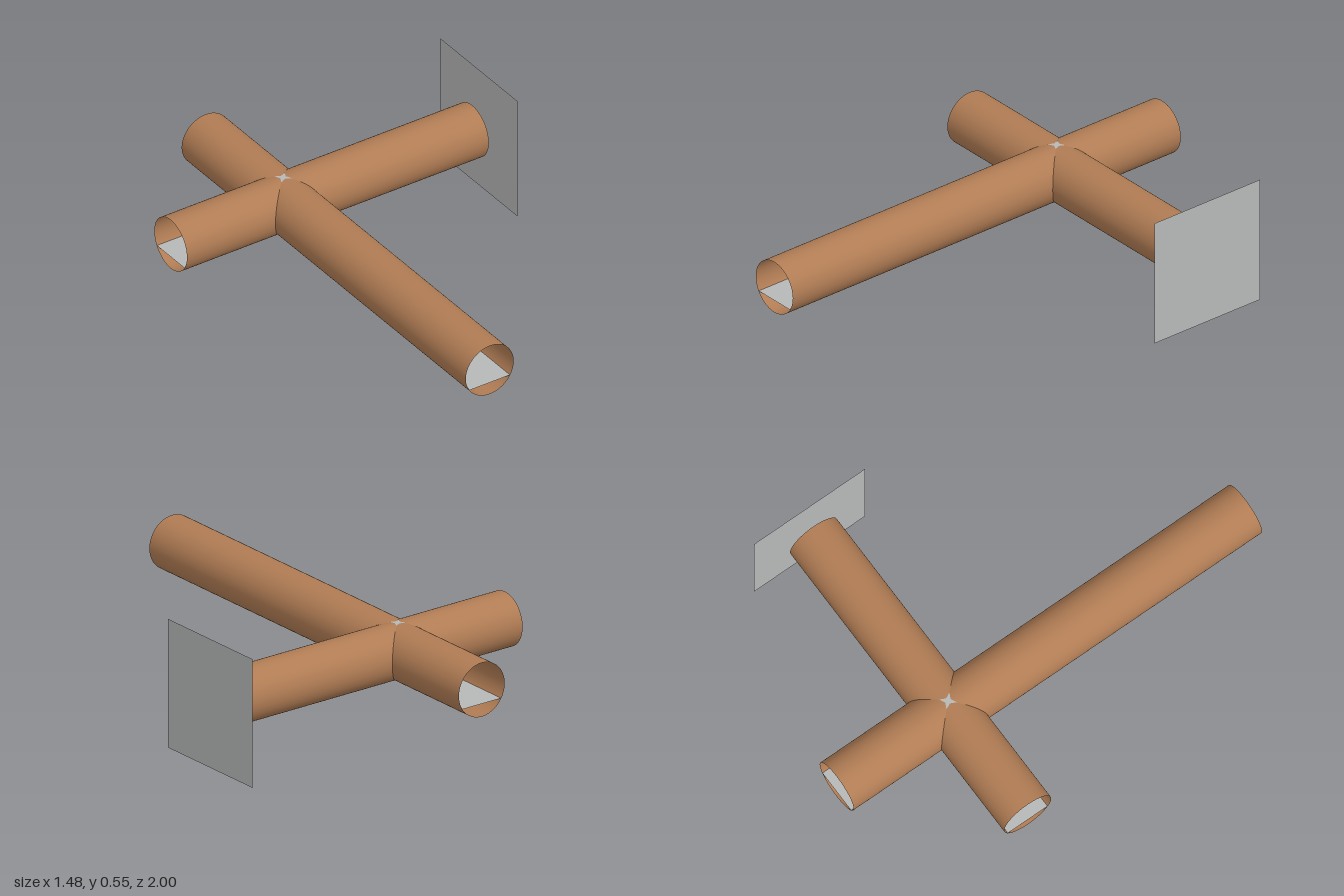
import * as THREE from 'three';

const R = 0.115, AXIS_Y = 0.275;           // pipe radius and centre height
const CX = -0.2, CZ = -0.455;              // crossing point
const X0 = -0.74, X1 = 0.71, Z0 = -1, Z1 = 1;

export function createModel() {
  const group = new THREE.Group();
  const copper = new THREE.MeshStandardMaterial({ color: 0xb07c54, side: THREE.DoubleSide });
  copper.name = 'copper brown';
  const grey = new THREE.MeshStandardMaterial({ color: 0xb6b8b7, side: THREE.DoubleSide });
  grey.name = 'light grey';

  const add = (name, geometry, material, x, y, z) => {
    const mesh = new THREE.Mesh(geometry, material);
    mesh.name = name;
    mesh.position.set(x, y, z);
    group.add(mesh);
    return mesh;
  };
  const pipe = (length) => new THREE.CylinderGeometry(R, R, length, 64, 1, true);
  const flatShape = (points) =>
    new THREE.ShapeGeometry(new THREE.Shape(points.map(([x, z]) => new THREE.Vector2(x, z)))).rotateX(Math.PI / 2);

  // Two open, thin-walled pipes crossing at right angles
  add('longPipe', pipe(Z1 - Z0).rotateX(Math.PI / 2), copper, CX, AXIS_Y, (Z0 + Z1) / 2);
  add('crossPipe', pipe(X1 - X0).rotateZ(Math.PI / 2), copper, (X0 + X1) / 2, AXIS_Y, CZ);

  // Cross-shaped horizontal sheet lying low inside the pipes
  const drop = 0.06, w = Math.sqrt(R * R - drop * drop) - 0.001;
  add('innerSheet', flatShape([
    [CX - w, Z0], [CX + w, Z0], [CX + w, CZ - w], [X1, CZ - w], [X1, CZ + w], [CX + w, CZ + w],
    [CX + w, Z1], [CX - w, Z1], [CX - w, CZ + w], [X0, CZ + w], [X0, CZ - w], [CX - w, CZ - w],
  ]), grey, 0, AXIS_Y - drop, 0);

  // Small four-pointed mark where the pipes meet, above and below
  const star = [];
  for (let i = 0; i < 8; i++) {
    const a = (i * Math.PI) / 4, r = i % 2 ? 0.036 : 0.013;
    star.push([r * Math.cos(a), r * Math.sin(a)]);
  }
  for (const s of [1, -1]) add(s > 0 ? 'topStar' : 'bottomStar', flatShape(star), grey, CX, AXIS_Y + s * (R + 0.0006), CZ);

  // Square sheet standing just beyond the end of the cross pipe
  add('endPlate', new THREE.PlaneGeometry(0.545, 0.55).rotateY(Math.PI / 2), grey, 0.74, AXIS_Y, CZ + 0.002);

  return group;
}
